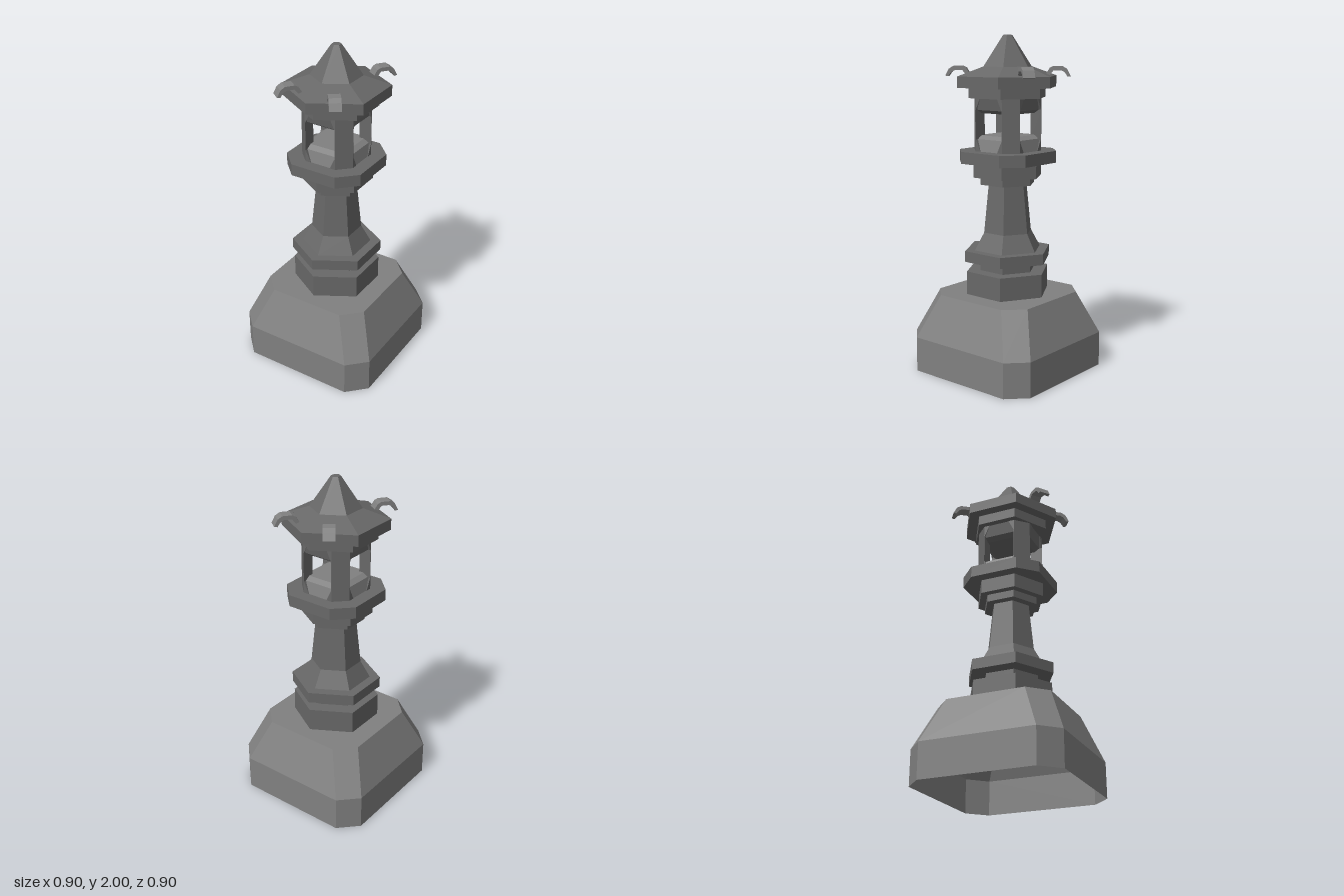
import * as THREE from 'three';

const stone = (color) => new THREE.MeshStandardMaterial({
  color, flatShading: true, side: THREE.DoubleSide,
});
const paleStone = stone(0x808080);
const darkStone = stone(0x686868);

// Regular six-sided section of [x, z] points, with a corner at +z.
const hex = (radius) => Array.from({ length: 6 }, (_, i) => {
  const t = (i / 3) * Math.PI;
  return [Math.sin(t) * radius, Math.cos(t) * radius];
});

// Square section of half width h whose corners are cut back to c.
const cutSquare = (h, c) =>
  [[c, h], [h, c], [h, -c], [c, -h], [-c, -h], [-h, -c], [-h, c], [-c, h]];

// Faceted solid through stacked sections: [[y, section], ...].
function loft(name, material, levels, bottom = true) {
  const pos = [];
  const at = (level, i) => {
    const [x, z] = level[1][i % level[1].length];
    return [x, level[0], z];
  };
  const n = levels[0][1].length;
  for (let k = 0; k + 1 < levels.length; k++) {
    const lo = levels[k], hi = levels[k + 1];
    for (let i = 0; i < n; i++) {
      const a = at(lo, i), b = at(lo, i + 1), c = at(hi, i + 1), d = at(hi, i);
      pos.push(...a, ...b, ...c, ...a, ...c, ...d);
    }
  }
  // Caps fan out from the last point of the section
  const first = levels[0], last = levels[levels.length - 1];
  for (let i = 0; i + 2 < n; i++) {
    if (bottom) pos.push(...at(first, n - 1), ...at(first, i + 1), ...at(first, i));
    pos.push(...at(last, n - 1), ...at(last, i), ...at(last, i + 1));
  }
  const geo = new THREE.BufferGeometry();
  geo.setAttribute('position', new THREE.Float32BufferAttribute(pos, 3));
  geo.computeVertexNormals();
  const mesh = new THREE.Mesh(geo, material);
  mesh.name = name;
  return mesh;
}

export function createModel() {
  const model = new THREE.Group();
  model.name = 'stoneLantern';

  // Hollow plinth with cut corners, open underneath
  model.add(loft('plinth', paleStone, [
    [0, cutSquare(0.448, 0.34)],
    [0.21, cutSquare(0.448, 0.34)],
    [0.47, cutSquare(0.342, 0.235)],
  ], false));

  // Straight six-sided tiers: name, bottom, top, radius
  const tiers = [
    ['footTier', 0.47, 0.61, 0.26],
    ['footNeck', 0.61, 0.67, 0.173],
    ['footCollar', 0.67, 0.735, 0.27],
    ['lowerCapital', 1.13, 1.175, 0.17],
    ['upperCapital', 1.175, 1.26, 0.215],
    ['underEaves', 1.64, 1.7, 0.24],
    ['eaves', 1.7, 1.765, 0.309],
  ];
  for (const [name, y0, y1, r] of tiers) {
    model.add(loft(name, darkStone, [[y0, hex(r)], [y1, hex(r)]]));
  }

  // Tapering column with a flared foot
  model.add(loft('column', darkStone, [
    [0.735, hex(0.208)], [0.84, hex(0.15)], [1.13, hex(0.12)],
  ]));

  // Platform with cut corners under the lamp housing
  const platform = cutSquare(0.25, 0.145);
  model.add(loft('platform', darkStone, [[1.26, platform], [1.33, platform]]));

  // Lamp housing: bevelled sill and ceiling, four corner pillars bracketed at both ends
  const housing = new THREE.Group();
  housing.name = 'lampHousing';
  const outer = cutSquare(0.17, 0.098);
  const middle = cutSquare(0.155, 0.098);
  const inner = cutSquare(0.125, 0.098);
  housing.add(loft('sill', paleStone, [[1.33, outer], [1.4, middle], [1.42, inner]]));
  housing.add(loft('ceiling', darkStone, [[1.55, inner], [1.57, middle], [1.64, outer]]));
  const pillarSection = (a) =>
    [[a, 0.173], [0.1, 0.173], [0.173, 0.1], [0.173, a], [0.096, 0.096]];
  for (let k = 0; k < 4; k++) {
    const pillar = loft('pillar', darkStone, [
      [1.33, pillarSection(0.064)], [1.4, pillarSection(0.098)],
      [1.57, pillarSection(0.098)], [1.64, pillarSection(0.064)],
    ]);
    pillar.rotation.y = k * Math.PI / 2;
    housing.add(pillar);
  }
  model.add(housing);

  // Shallow roof and steep spire
  model.add(loft('roof', darkStone, [[1.765, hex(0.309)], [1.82, hex(0.15)]]));
  model.add(loft('spire', darkStone, [[1.82, hex(0.15)], [2, hex(0.028)]]));

  // Four bent hooks rising from the front and back roof slopes
  const profile = [
    [-0.076, 1.77], [-0.05, 1.812], [-0.03, 1.822], [0.025, 1.822], [0.052, 1.805],
    [0.072, 1.765], [0.054, 1.762], [0.036, 1.788], [0.016, 1.799], [-0.028, 1.799], [-0.05, 1.77],
  ].map(([r, y]) => new THREE.Vector2(r, y));
  const hookGeo = new THREE.ExtrudeGeometry(new THREE.Shape(profile), {
    depth: 0.068, bevelEnabled: false,
  });
  hookGeo.translate(0, 0, -0.034);
  for (const sx of [1, -1]) {
    for (const sz of [1, -1]) {
      const hook = new THREE.Mesh(hookGeo, paleStone);
      hook.name = 'roofHook';
      hook.position.set(sx * 0.15, 0, sz * 0.256);
      hook.rotation.y = Math.atan2(-sz * 0.8, sx * 0.6);
      model.add(hook);
    }
  }

  return model;
}
